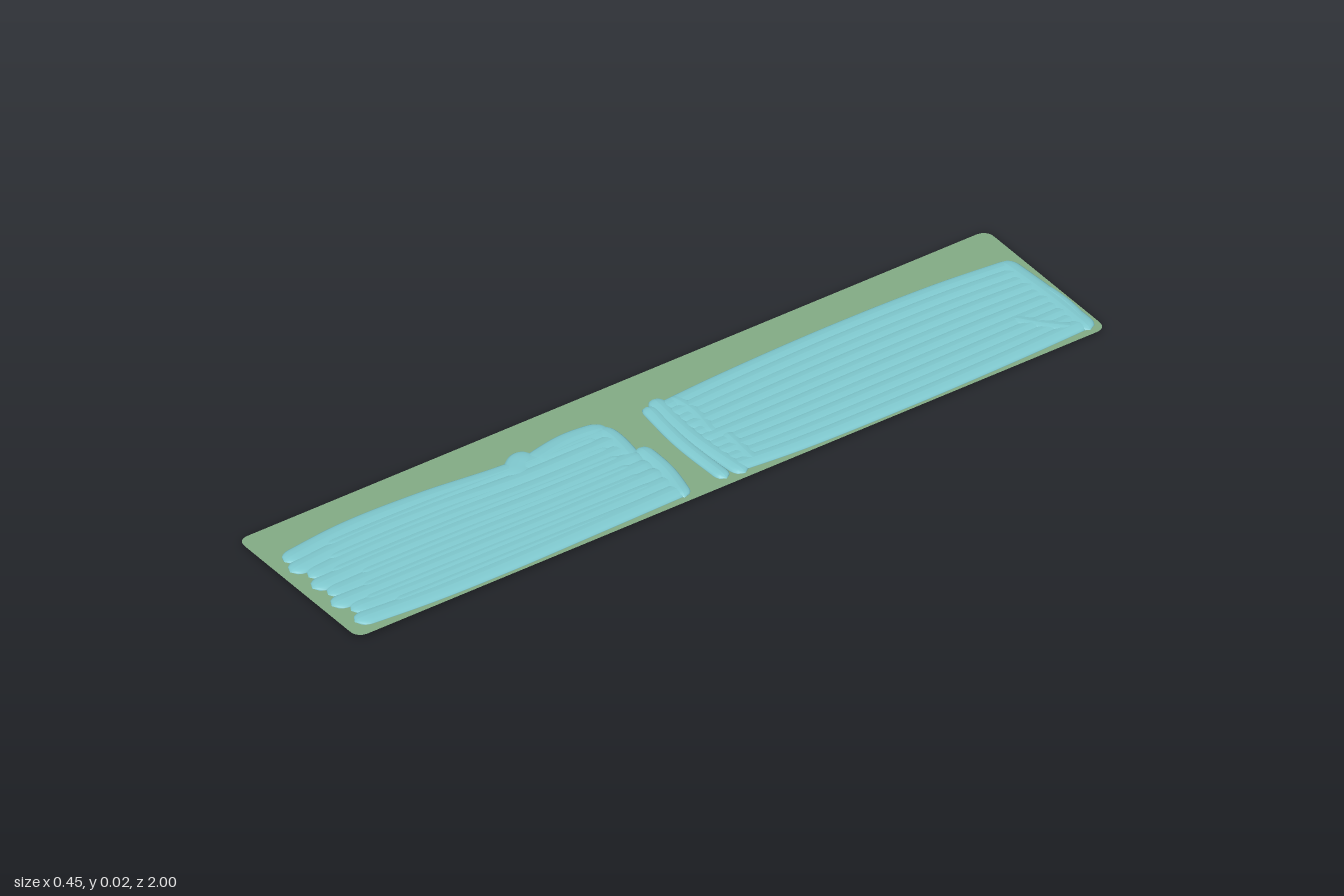
import * as THREE from 'three';

const MID = 0.009; // height of the sheet and of the stroke centres
const paint = new THREE.MeshStandardMaterial({ color: 0x7fc8ce });
const sheetMaterial = new THREE.MeshStandardMaterial({ color: 0x82aa84, side: THREE.DoubleSide });

// A flattened tube through [x, z] points with rounded ends
function stroke(name, points, halfWidth, halfHeight = 0.0075) {
  const curve = new THREE.CatmullRomCurve3(points.map(([x, z]) => new THREE.Vector3(x, 0, z)));
  const length = curve.getLength();
  const segments = Math.max(20, Math.round(length / 0.008));
  const sides = 14;
  const geometry = new THREE.TubeGeometry(curve, segments, halfWidth, sides, false);
  const pos = geometry.attributes.position;
  const cap = Math.min(halfWidth * 1.3, length / 2);
  for (let i = 0; i <= segments; i++) {
    const t = i / segments;
    const centre = curve.getPointAt(t);
    const d = Math.min(1, Math.min(t, 1 - t) * length / cap);
    const k = Math.sqrt(Math.max(0, 1 - (1 - d) ** 2));
    for (let j = 0; j <= sides; j++) {
      const n = i * (sides + 1) + j;
      pos.setXYZ(n,
        centre.x + (pos.getX(n) - centre.x) * k,
        pos.getY(n) * k * halfHeight / halfWidth,
        centre.z + (pos.getZ(n) - centre.z) * k);
    }
  }
  geometry.computeVertexNormals();
  const mesh = new THREE.Mesh(geometry, paint);
  mesh.name = name;
  mesh.position.y = MID;
  return mesh;
}

// Side-by-side long strokes, spread between a left and a right edge line
function longStrokes(group, left, right, count, halfWidth, trim) {
  for (let i = 0; i < count; i++) {
    const f = i / (count - 1);
    const points = left.map(([x, z], k) => [
      THREE.MathUtils.lerp(x + halfWidth, right[k][0] - halfWidth, f),
      THREE.MathUtils.lerp(z, right[k][1], f) + (k === left.length - 1 ? trim(i) : 0),
    ]);
    group.add(stroke('longStroke', points, halfWidth, 0.0072 + 0.0006 * (i % 2)));
  }
}

function createSheet() {
  const w = 0.225, h = 1, r = 0.03;
  const shape = new THREE.Shape();
  shape.moveTo(-w + r, -h);
  shape.lineTo(w - r, -h);
  shape.quadraticCurveTo(w, -h, w, -h + r);
  shape.lineTo(w, h - r);
  shape.quadraticCurveTo(w, h, w - r, h);
  shape.lineTo(-w + r, h);
  shape.quadraticCurveTo(-w, h, -w, h - r);
  shape.lineTo(-w, -h + r);
  shape.quadraticCurveTo(-w, -h, -w + r, -h);
  const mesh = new THREE.Mesh(new THREE.ShapeGeometry(shape, 8), sheetMaterial);
  mesh.name = 'sheet';
  mesh.rotation.x = -Math.PI / 2;
  mesh.position.y = MID;
  return mesh;
}

function createBackPatch() {
  const group = new THREE.Group();
  group.name = 'backPatch';
  longStrokes(group,
    [[-0.107, -0.98], [-0.125, -0.78], [-0.131, -0.5], [-0.122, -0.2], [-0.11, -0.03]],
    [[0.205, -0.98], [0.213, -0.78], [0.218, -0.5], [0.214, -0.2], [0.2, -0.03]],
    10, 0.024, () => 0);
  // Cross strokes closing both ends
  group.add(
    stroke('endStroke', [[-0.11, -0.955], [0.05, -0.965], [0.21, -0.967]], 0.026, 0.008),
    stroke('endStroke', [[0.02, -0.975], [0.1, -0.98], [0.2, -0.97]], 0.015),
    stroke('diagonalStroke', [[0.195, -0.95], [0.14, -0.895], [0.075, -0.845]], 0.022, 0.0082),
    stroke('innerStroke', [[-0.115, -0.075], [-0.04, -0.085], [0.06, -0.07]], 0.022, 0.008),
    stroke('innerStroke', [[0.06, -0.095], [0.13, -0.09], [0.2, -0.085]], 0.022, 0.0082),
    stroke('innerStroke', [[-0.13, -0.04], [0.04, -0.03], [0.212, -0.045]], 0.022, 0.0079),
    stroke('innerStroke', [[-0.115, -0.012], [0.04, 0.003], [0.205, 0]], 0.019, 0.0076));
  return group;
}

function createFrontPatch() {
  const group = new THREE.Group();
  group.name = 'frontPatch';
  // Long strokes end in separate fingers
  const ends = [0, 0.012, -0.01, 0.008, -0.006, 0.012, -0.012, 0.006];
  longStrokes(group,
    [[-0.118, 0.1], [-0.118, 0.36], [-0.14, 0.58], [-0.145, 0.78], [-0.125, 0.965]],
    [[0.207, 0.09], [0.213, 0.36], [0.217, 0.58], [0.214, 0.78], [0.2, 0.965]],
    8, 0.0265, (i) => ends[i]);
  // Fill between the fingers, stopping short of their tips
  for (let i = 0; i < 7; i++) {
    const x = -0.09 + i * 0.043;
    group.add(stroke('fillStroke', [[x + 0.01, 0.14], [x, 0.5], [x - 0.002, 0.86 + 0.025 * (i % 3)]], 0.018, 0.007));
  }
  group.add(
    stroke('endStroke', [[0.0, 0.09], [0.1, 0.092], [0.21, 0.115]], 0.022, 0.0082),
    stroke('endStroke', [[-0.11, 0.12], [-0.06, 0.115], [0.03, 0.125]], 0.024, 0.0078),
    stroke('leftStroke', [[-0.098, 0.1], [-0.107, 0.2], [-0.085, 0.32]], 0.03, 0.0078),
    stroke('dab', [[-0.125, 0.295], [-0.105, 0.33], [-0.06, 0.385]], 0.031, 0.0082));
  return group;
}

export function createModel() {
  const model = new THREE.Group();
  model.name = 'paintedSheet';
  model.add(createSheet(), createBackPatch(), createFrontPatch());
  return model;
}
